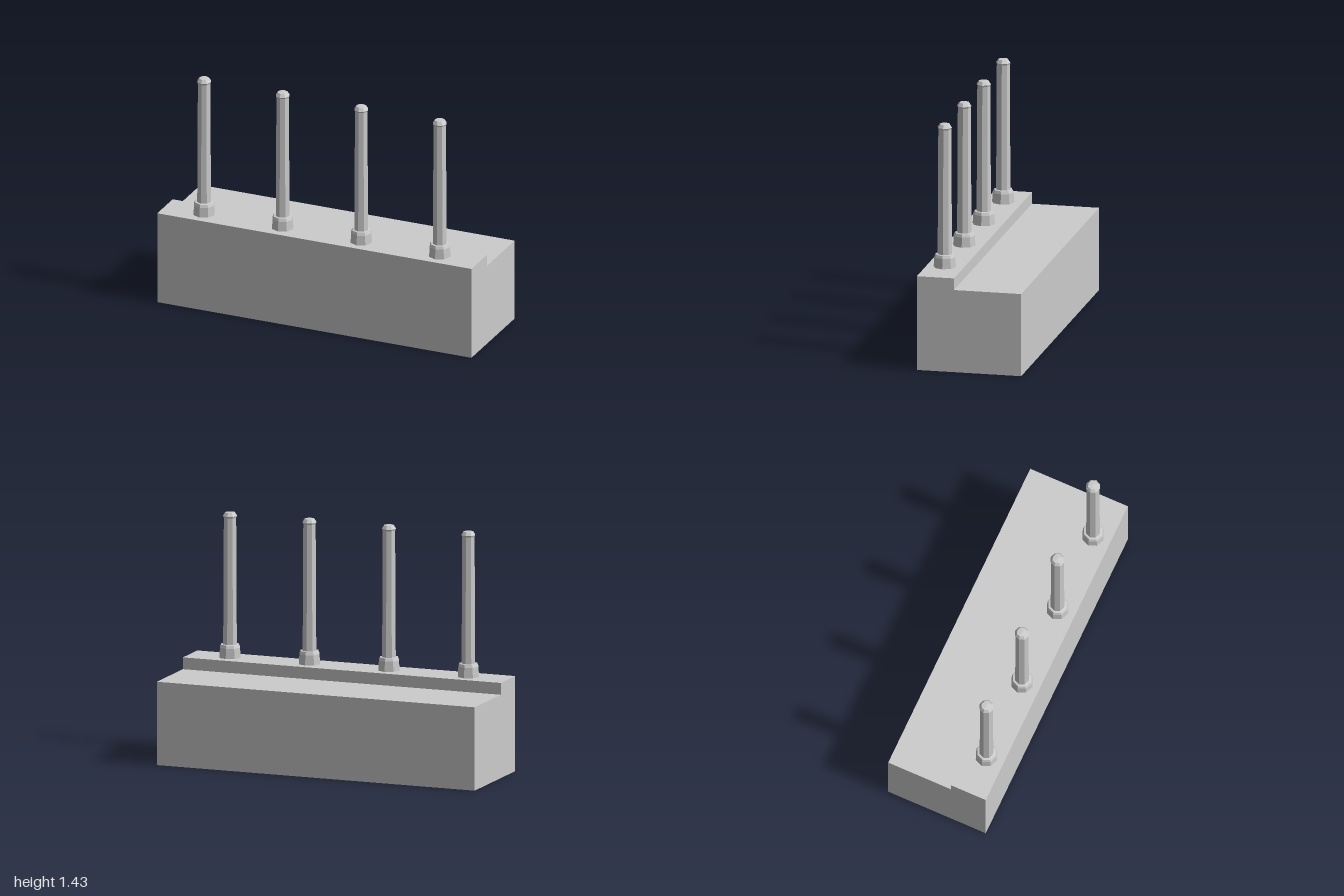
import * as THREE from 'three';

export function createModel() {
  const group = new THREE.Group();
  const grey = new THREE.MeshStandardMaterial({ color: 0xcccccc, flatShading: true });

  // Stepped body: side profile (z, y) extruded along x
  const profile = [[0.312, 0], [0.312, 0.565], [0.09, 0.565], [0.09, 0.495], [-0.312, 0.495], [-0.312, 0]];
  const shape = new THREE.Shape(profile.map(([z, y]) => new THREE.Vector2(-z, y)));
  const bodyGeo = new THREE.ExtrudeGeometry(shape, { depth: 2, bevelEnabled: false });
  bodyGeo.translate(0, 0, -1).rotateY(Math.PI / 2);
  const body = new THREE.Mesh(bodyGeo, grey);
  body.name = 'steppedBody';
  group.add(body);

  // Eight-sided turned parts, as (radius, height) profiles
  const turned = (points) =>
    new THREE.LatheGeometry(points.map(([r, y]) => new THREE.Vector2(r, y)), 8);
  const collarGeo = turned([[0.067, 0.56], [0.063, 0.625], [0.056, 0.642], [0.036, 0.645]]);
  const shaftGeo = turned([[0.043, 0.6], [0.043, 0.66], [0.039, 1.395], [0.043, 1.405], [0.03, 1.425], [0, 1.428]]);

  // Row of four upright pins, each in its collar
  for (let i = 0; i < 4; i++) {
    const pin = new THREE.Group();
    pin.name = `pin${i + 1}`;
    const collar = new THREE.Mesh(collarGeo, grey);
    collar.name = 'collar';
    const shaft = new THREE.Mesh(shaftGeo, grey);
    shaft.name = 'shaft';
    pin.add(collar, shaft);
    pin.position.set(-0.75 + i * 0.5, 0, 0.203);
    group.add(pin);
  }
  return group;
}
